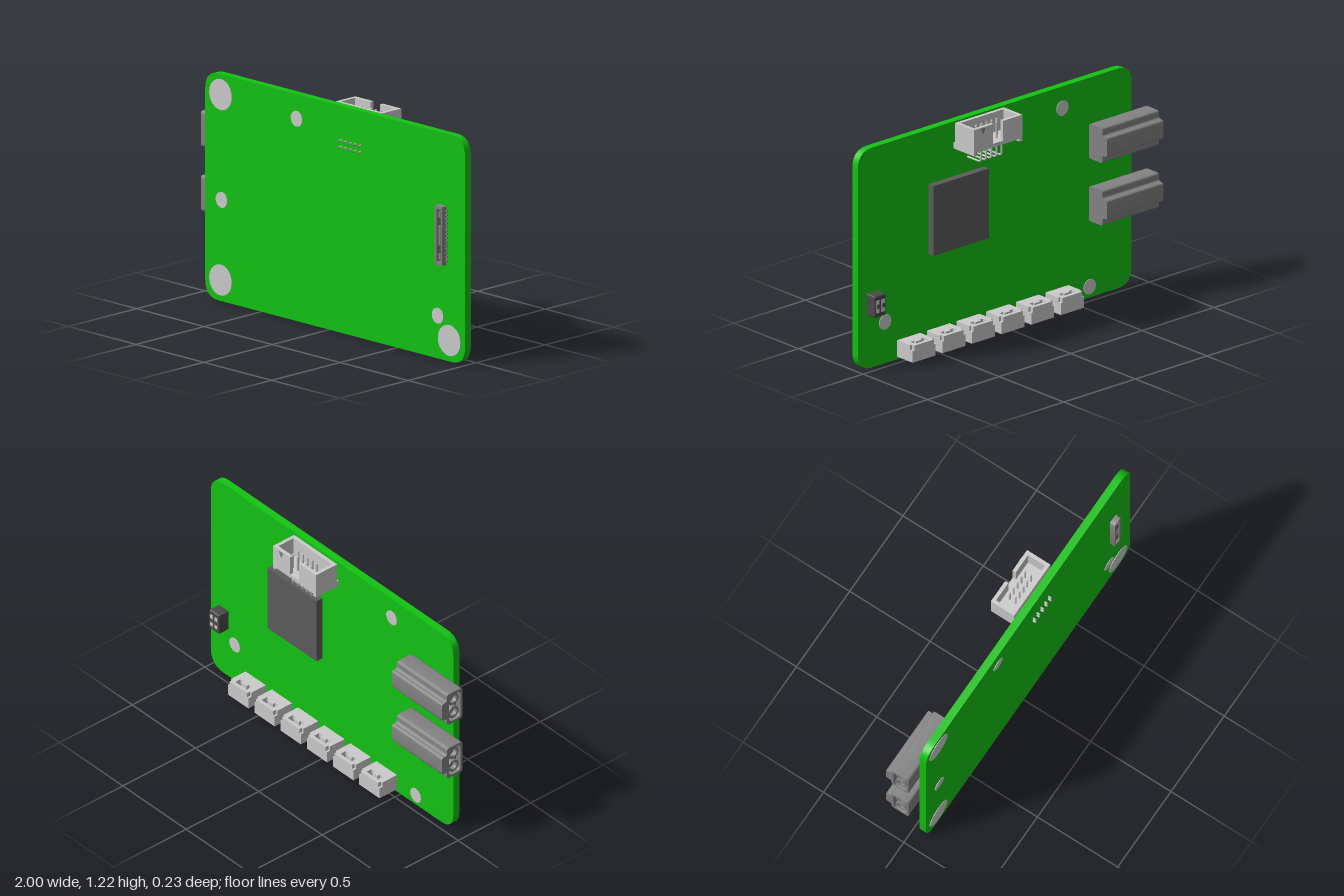
import * as THREE from 'three';
import { toCreasedNormals } from 'three/addons/utils/BufferGeometryUtils.js';
import { RoundedBoxGeometry } from 'three/addons/geometries/RoundedBoxGeometry.js';

const mat = (color) => new THREE.MeshStandardMaterial({ color });
const GREEN = mat(0x13c313), GREY = mat(0xcccccc), MID = mat(0x838383);
const CHIP = mat(0x5c5c5c), DARK = mat(0x4a4a4a);

// Closed outline with every corner rounded by r (r = 0 keeps it sharp)
function outline(pts, r = 0) {
  const shape = new THREE.Shape();
  const v = pts.map((p) => new THREE.Vector2(...p));
  v.forEach((p, i) => {
    const toward = (q) => p.clone().add(q.clone().sub(p).setLength(r));
    const a = toward(v[(i + v.length - 1) % v.length]);
    const b = toward(v[(i + 1) % v.length]);
    if (i === 0) shape.moveTo(a.x, a.y); else shape.lineTo(a.x, a.y);
    if (r > 0) shape.quadraticCurveTo(p.x, p.y, b.x, b.y);
  });
  shape.closePath();
  return shape;
}
const rect = (x0, x1, y0, y1, r = 0) => outline([[x0, y0], [x1, y0], [x1, y1], [x0, y1]], r);
const circle = (x, y, r) => new THREE.Shape().absarc(x, y, r, 0, Math.PI * 2);

function add(parent, name, geometry, material) {
  const mesh = new THREE.Mesh(geometry, material);
  mesh.name = name;
  parent.add(mesh);
  return mesh;
}
function box(parent, name, material, x0, x1, y0, y1, z0, z1) {
  const mesh = add(parent, name, new THREE.BoxGeometry(x1 - x0, y1 - y0, z1 - z0), material);
  mesh.position.set((x0 + x1) / 2, (y0 + y1) / 2, (z0 + z1) / 2);
  return mesh;
}
// Extrude from a to b along an axis; for x the outline is (-z, y), for y it is (x, -z)
function prism(parent, name, material, shape, holes, axis, a, b) {
  shape.holes = holes;
  const g = new THREE.ExtrudeGeometry(shape, { depth: b - a, bevelEnabled: false, curveSegments: 10 });
  g.translate(0, 0, a);
  if (axis === 'x') g.rotateY(Math.PI / 2);
  if (axis === 'y') g.rotateX(-Math.PI / 2);
  return add(parent, name, toCreasedNormals(g, 0.6), material);
}
function group(parent, name) {
  const g = new THREE.Group();
  g.name = name;
  parent.add(g);
  return g;
}

function powerConnector(parent, y) {
  const c = group(parent, 'powerConnector');
  const profile = () => outline([
    [-0.03, -0.097], [0.076, -0.097], [0.076, -0.053], [0.112, -0.053],
    [0.112, 0.053], [0.076, 0.053], [0.076, 0.097], [-0.03, 0.097],
  ], 0.017);
  prism(c, 'connectorBody', MID, profile(), [], 'x', -0.965, -0.605);
  prism(c, 'connectorRim', MID, profile(), [rect(-0.017, 0.063, -0.083, 0.083, 0.025)], 'x', -1, -0.965);
  for (const s of [-1, 1]) {
    prism(c, 'contactSocket', MID, circle(0.023, s * 0.042, 0.035), [circle(0.023, s * 0.042, 0.023)], 'x', -0.966, -0.99);
    prism(c, 'contactSleeve', MID, circle(0.023, s * 0.042, 0.035), [circle(0.023, s * 0.042, 0.023)], 'x', -0.99, -0.965);
  }
  // drop the inward-facing helpers, keeping only the outward sleeves
  c.children.filter((m) => m.name === 'contactSocket').forEach((m) => c.remove(m));
  c.position.y = y;
}

function wireSocket(parent, x) {
  const c = group(parent, 'wireSocket');
  const body = () => outline([[-0.08, -0.04], [0.08, -0.04], [0.08, 0.08], [-0.08, 0.08]]);
  // open-bottomed shell
  prism(c, 'socketShell', GREY, body(), [rect(-0.065, 0.065, -0.015, 0.065)], 'y', 0.015, 0.08);
  // roof with stepped outer corners and a U-shaped window
  const roof = outline([
    [-0.08, -0.04], [0.08, -0.04], [0.08, 0.06], [0.068, 0.06], [0.068, 0.08],
    [-0.068, 0.08], [-0.068, 0.06], [-0.08, 0.06],
  ]);
  const windowHole = outline([
    [-0.045, 0.025], [-0.02, 0.025], [-0.02, 0.04], [0.02, 0.04],
    [0.02, 0.025], [0.045, 0.025], [0.045, 0.06], [-0.045, 0.06],
  ]);
  prism(c, 'socketRoof', GREY, roof, [windowHole], 'y', 0.08, 0.107);
  for (const s of [-1, 1]) {
    box(c, 'socketPin', GREY, s * 0.025 - 0.006, s * 0.025 + 0.006, 0.03, 0.085, -0.034, -0.022);
  }
  c.position.x = x;
}

function pinHeader(parent) {
  const c = group(parent, 'pinHeader');
  const [x0, x1] = [-0.01, 0.33];
  const mid = (x0 + x1) / 2;
  // floor, with end feet standing below it
  box(c, 'headerFloor', GREY, x0, x1, 1.085, 1.105, -0.115, 0.04);
  for (const [a, b] of [[x0, x0 + 0.02], [x1 - 0.02, x1]]) {
    box(c, 'headerFoot', GREY, a, b, 1.07, 1.085, -0.115, 0.04);
    box(c, 'headerEnd', GREY, a, b, 1.105, 1.215, -0.115, 0.03);
  }
  box(c, 'headerFrontWall', GREY, x0 + 0.02, x1 - 0.02, 1.105, 1.215, 0.01, 0.03);
  // rear wall split by the key slot
  box(c, 'headerRearWall', GREY, x0 + 0.02, mid - 0.035, 1.105, 1.215, -0.115, -0.095);
  box(c, 'headerRearWall', GREY, mid + 0.035, x1 - 0.02, 1.105, 1.215, -0.115, -0.095);
  // first-pin marker
  prism(c, 'pinMarker', MID, outline([[0.25, 1.21], [0.265, 1.175], [0.28, 1.21]]), [], 'z', -0.118, -0.115);
  // bent pins passing through the board
  for (const [z, y] of [[-0.062, 1.0], [-0.025, 1.035]]) {
    const path = new THREE.CurvePath();
    const p = (py, pz) => new THREE.Vector3(0, py, pz);
    path.add(new THREE.LineCurve3(p(1.19, z), p(y + 0.02, z)));
    path.add(new THREE.QuadraticBezierCurve3(p(y + 0.02, z), p(y, z), p(y, z + 0.02)));
    path.add(new THREE.LineCurve3(p(y, z + 0.02), p(y, 0.1)));
    const pin = new THREE.TubeGeometry(path, 36, 0.006, 6);
    for (let i = 0; i < 5; i++) {
      const x = mid + (i - 2) * 0.036;
      add(c, 'headerPin', pin, GREY).position.x = x;
      const tip = add(c, 'pinTip', new THREE.SphereGeometry(0.006, 6, 4), MID);
      tip.position.set(x, y, 0.1);
      add(c, 'pinTop', new THREE.SphereGeometry(0.006, 6, 4), GREY).position.set(x, 1.19, z);
    }
  }
}

function slotConnector(parent) {
  const c = group(parent, 'slotConnector');
  prism(c, 'slotShell', MID, rect(0.808, 0.864, 0.513, 0.832, 0.006), [rect(0.82, 0.852, 0.53, 0.815)], 'z', 0.083, 0.115);
  box(c, 'slotFloor', DARK, 0.815, 0.857, 0.52, 0.82, 0.083, 0.092);
  box(c, 'slotTongue', MID, 0.83, 0.842, 0.545, 0.8, 0.09, 0.11);
  for (const y of [0.6, 0.75]) box(c, 'slotKey', DARK, 0.826, 0.846, y - 0.02, y + 0.02, 0.09, 0.112);
  for (let i = 0; i < 14; i++) {
    const y = 0.54 + i * 0.0204;
    box(c, 'slotLead', MID, 0.862, 0.874, y - 0.005, y + 0.005, 0.083, 0.091);
  }
}

function switchBlock(parent) {
  const c = group(parent, 'switchBlock');
  const body = add(c, 'switchBody', new RoundedBoxGeometry(0.08, 0.12, 0.07, 2, 0.008), DARK);
  body.position.set(0.9, 0.36, 0.01);
  for (const x of [0.882, 0.918]) {
    box(c, 'switchWindow', GREY, x - 0.01, x + 0.01, 0.325, 0.395, -0.027, -0.02);
    box(c, 'switchSlider', DARK, x - 0.008, x + 0.008, 0.35, 0.372, -0.029, -0.02);
  }
}

export function createModel() {
  const model = new THREE.Group();
  model.name = 'circuitBoard';
  prism(model, 'board', GREEN, rect(-0.915, 1, 0, 1.22, 0.1), [], 'z', 0.041, 0.083);

  // round pads: x, y, radius, side
  const pads = [
    [-0.8, 1.11, 0.083, 1], [-0.8, 0.113, 0.083, 1], [0.885, 0.113, 0.083, 1],
    [-0.24, 1.088, 0.042, 1], [-0.793, 0.545, 0.042, 1], [0.8, 0.23, 0.042, 1],
    [-0.43, 1.1, 0.042, -1], [0.81, 0.23, 0.042, -1], [-0.62, 0.06, 0.042, -1],
  ];
  for (const [x, y, r, side] of pads) {
    const pad = add(model, 'pad', new THREE.CylinderGeometry(r, r, 0.006, 32).rotateX(Math.PI / 2), GREY);
    pad.position.set(x, y, side > 0 ? 0.083 : 0.041);
  }

  box(model, 'chip', CHIP, 0.12, 0.507, 0.53, 0.917, 0, 0.042);
  for (const y of [0.53, 0.877]) powerConnector(model, y);
  for (let i = 0; i < 6; i++) wireSocket(model, -0.391 + i * 0.2072);
  pinHeader(model);
  slotConnector(model);
  switchBlock(model);
  return model;
}
